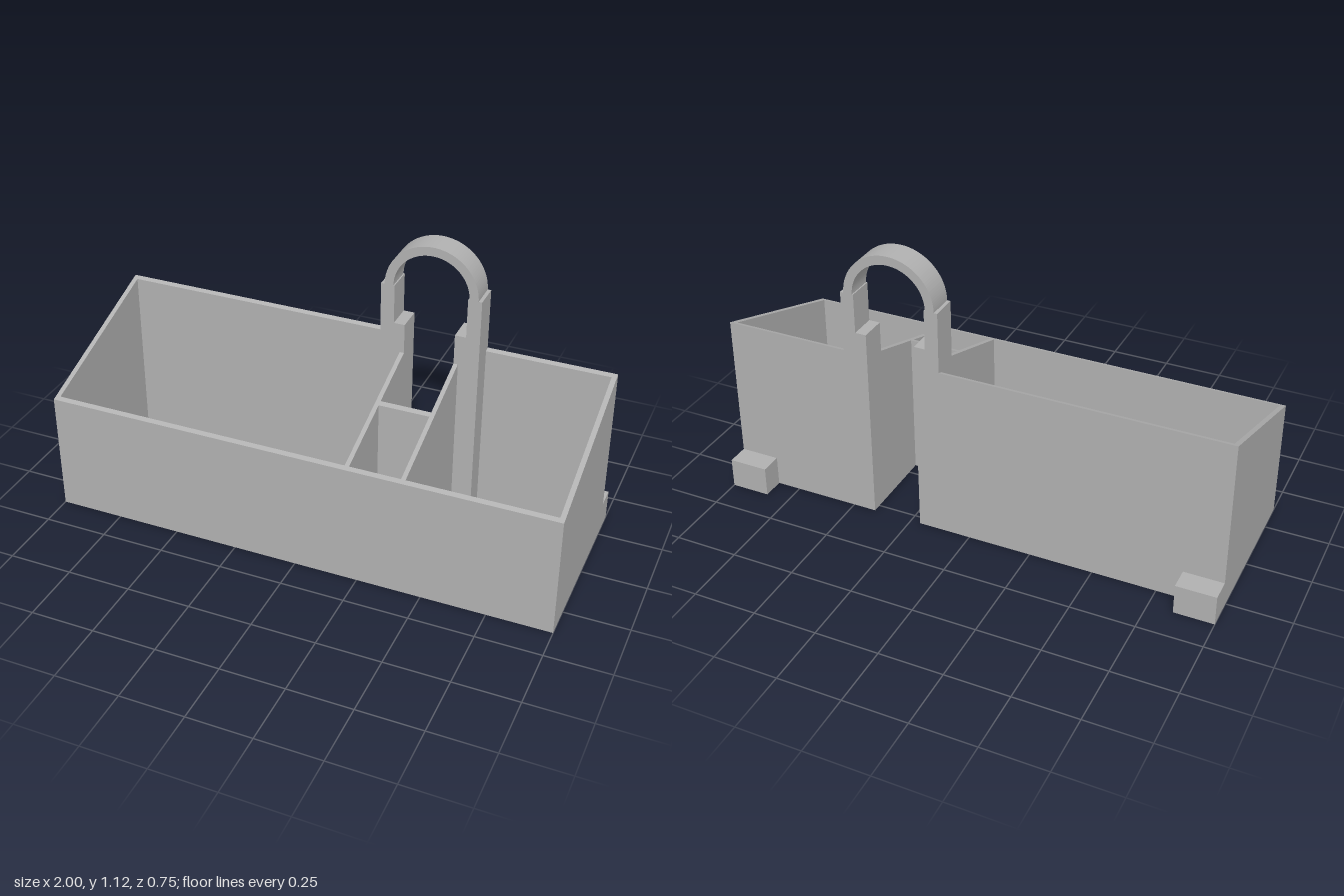
import * as THREE from 'three';

const grey = new THREE.MeshStandardMaterial({ color: 0xb0b0b0 });
grey.name = 'plain grey';

const FRONT = 0.373, BACK = -0.285, WALL = 0.019, FLOOR = 0.02;
const NOTCH_L = 0.21, NOTCH_R = 0.407, NOTCH_Z = 0.054, MID = (NOTCH_L + NOTCH_R) / 2;
const POST_FRONT = -0.18, POST_TOP = 0.942;

// Height of the sloping rim at depth z
const rim = z => 0.48 + (FRONT - z) * (0.22 / (FRONT - BACK));

export function createModel() {
  const model = new THREE.Group();
  model.name = 'caddy';

  const add = (name, geometry) => {
    const mesh = new THREE.Mesh(geometry, grey);
    mesh.name = name;
    model.add(mesh);
    return mesh;
  };

  const box = (x0, x1, y0, y1, z0, z1) =>
    new THREE.BoxGeometry(x1 - x0, y1 - y0, z1 - z0)
      .translate((x0 + x1) / 2, (y0 + y1) / 2, (z0 + z1) / 2);

  // Upright wall whose top edge follows the sloping rim
  const wall = (name, x0, x1, z0, z1) => {
    const g = box(x0, x1, FLOOR, 1, z0, z1);
    const p = g.attributes.position;
    for (let i = 0; i < p.count; i++) if (p.getY(i) > 0.5) p.setY(i, rim(p.getZ(i)));
    const flat = g.toNonIndexed();
    flat.computeVertexNormals();
    add(name, flat);
  };

  const outline = points => new THREE.Shape(points.map(([x, y]) => new THREE.Vector2(x, y)));

  // Floor with a rear notch and drain holes (shape y is -z)
  const floor = outline([
    [-1, -FRONT], [1, -FRONT], [1, -BACK], [NOTCH_R, -BACK],
    [NOTCH_R, -NOTCH_Z], [NOTCH_L, -NOTCH_Z], [NOTCH_L, -BACK], [-1, -BACK],
  ]);
  const hole = (x, z) => {
    const path = new THREE.Path();
    path.absarc(x, -z, 0.028, 0, Math.PI * 2, true);
    floor.holes.push(path);
  };
  for (let row = 0; row < 5; row++) {
    const z = -0.215 + row * 0.1055;
    for (let i = 0; i < 11; i++) hole(-0.93 + i * 0.105, z);
    for (let i = 0; i < 5; i++) hole(0.476 + i * 0.105, z);
  }
  hole(0.265, 0.128);
  hole(0.265, 0.233);
  add('floor', new THREE.ExtrudeGeometry(floor, { depth: FLOOR, bevelEnabled: false, curveSegments: 16 })
    .rotateX(-Math.PI / 2));

  // Outer walls
  const postL = 0.113, postR = 2 * MID - postL;
  wall('rightWall', -1, -1 + WALL, BACK, FRONT);
  wall('leftWall', 1 - WALL, 1, BACK, FRONT);
  wall('frontWall', -1 + WALL, 1 - WALL, FRONT - WALL, FRONT);
  wall('backWallRight', -1 + WALL, postL, BACK, BACK + WALL);
  wall('backWallLeft', postR, 1 - WALL, BACK, BACK + WALL);

  // Partitions around the notch and the small front compartment
  wall('rightPartition', NOTCH_L - 0.017, NOTCH_L, POST_FRONT, FRONT - WALL);
  wall('leftPartition', NOTCH_R, NOTCH_R + 0.017, POST_FRONT, FRONT - WALL);
  wall('crossPartition', NOTCH_L, NOTCH_R, NOTCH_Z, NOTCH_Z + 0.02);

  // Stepped posts, mirrored about the middle of the notch, and the arch above
  const depth = POST_FRONT - BACK;
  const extrude = shape => new THREE.ExtrudeGeometry(shape, { depth, bevelEnabled: false, curveSegments: 32 })
    .translate(0, 0, BACK);
  const half = MID - NOTCH_L, out = MID - postL, neck = 0.142;
  for (const [name, s] of [['rightPost', -1], ['leftPost', 1]]) {
    add(name, extrude(outline([
      [half, 0], [out, 0], [out, POST_TOP], [neck, POST_TOP], [neck, 0.785], [half, 0.785],
    ].map(([x, y]) => [MID + s * x, y]))));
  }
  const arch = new THREE.Shape();
  arch.absarc(MID, POST_TOP, 0.182, 0, Math.PI, false);
  arch.absarc(MID, POST_TOP, 0.147, Math.PI, 0, true);
  add('handleArch', extrude(arch));

  // Rear spacer feet
  add('rightFoot', box(-1, -0.845, 0, 0.12, -0.372, BACK));
  add('leftFoot', box(0.845, 1, 0, 0.12, -0.372, BACK));

  return model;
}
